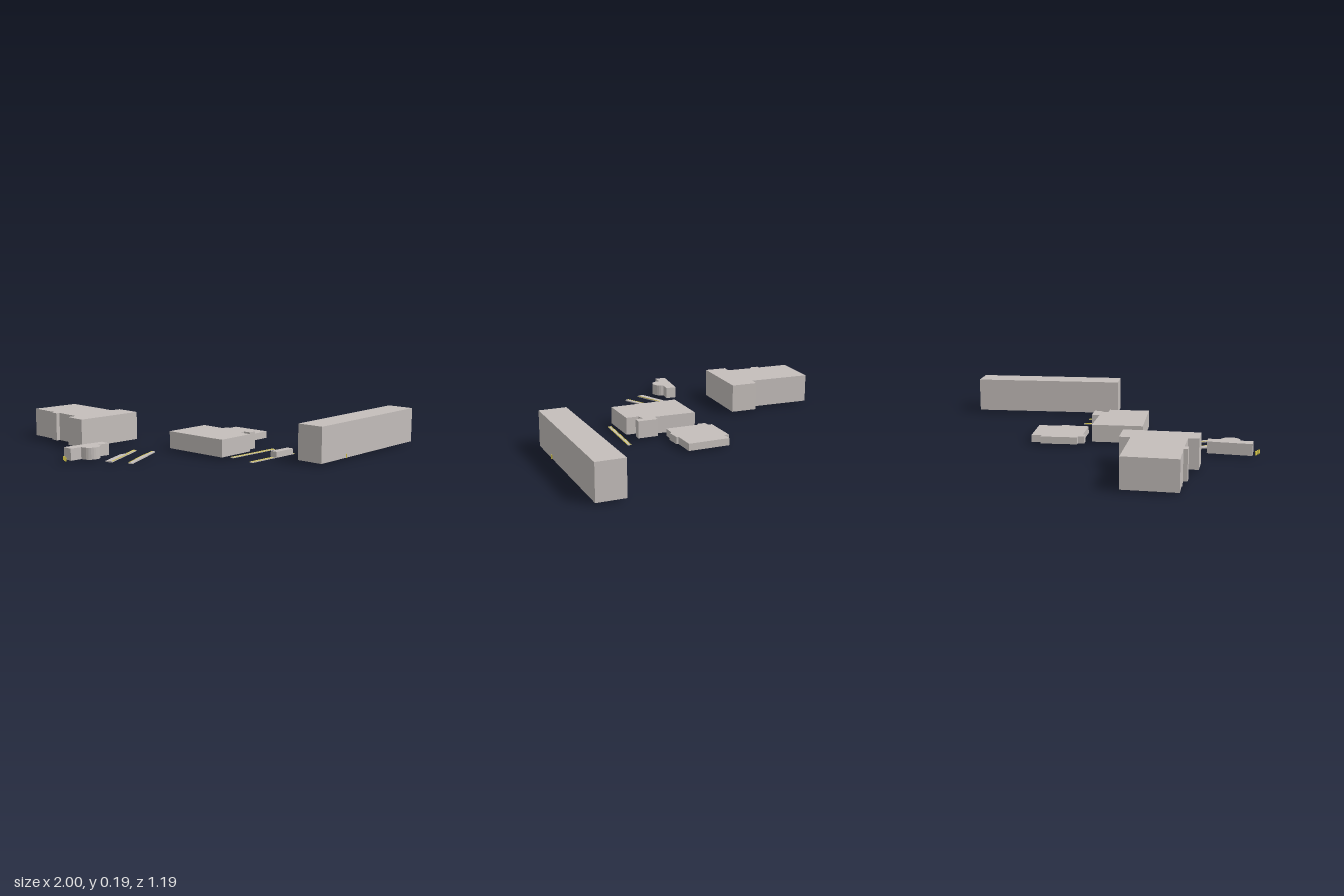
import * as THREE from 'three';

const concrete = new THREE.MeshStandardMaterial({ color: 0xc4bebb });
concrete.name = 'concrete grey';
const yellow = new THREE.MeshStandardMaterial({ color: 0xd6c648 });
yellow.name = 'safety yellow';

// Upright block from a ground plan of [x, z] corners
function block(name, plan, y0, y1) {
  const shape = new THREE.Shape(plan.map(([x, z]) => new THREE.Vector2(x, -z)));
  const geo = new THREE.ExtrudeGeometry(shape, { depth: y1 - y0, bevelEnabled: false });
  geo.rotateX(-Math.PI / 2);
  geo.translate(0, y0, 0);
  const mesh = new THREE.Mesh(geo, concrete);
  mesh.name = name;
  return mesh;
}

// Thin yellow line painted along a platform edge
function stripe(name, [x0, z0], [x1, z1], y, width = 0.004) {
  const geo = new THREE.BoxGeometry(Math.hypot(x1 - x0, z1 - z0), 0.002, width);
  const mesh = new THREE.Mesh(geo, yellow);
  mesh.position.set((x0 + x1) / 2, y, (z0 + z1) / 2);
  mesh.rotation.y = -Math.atan2(z1 - z0, x1 - x0);
  mesh.name = name;
  return mesh;
}

export function createModel() {
  const model = new THREE.Group();
  model.name = 'stationSite';

  // Large buildings
  model.add(block('longHall', [[0.866, -0.596], [1, -0.54], [0.685, 0.217], [0.554, 0.163]], 0.01, 0.192));
  model.add(block('westBuilding', [
    [-1, 0], [-0.883, -0.238], [-0.578, -0.097], [-0.552, -0.145], [-0.422, -0.087],
    [-0.583, 0.253], [-0.69, 0.202], [-0.668, 0.155], [-0.802, 0.09], [-0.812, 0.107],
    [-0.851, 0.088], [-0.842, 0.07], [-0.91, 0.043], [-0.913, 0.038],
  ], 0.01, 0.16));
  model.add(block('centreBuilding', [
    [-0.048, -0.147], [0.153, -0.054], [0.17, -0.092], [0.267, -0.05], [0.25, -0.014],
    [0.215, -0.027], [0.206, 0.01], [0.267, 0.037], [0.185, 0.236], [-0.152, 0.096],
  ], 0.01, 0.1));
  model.add(block('backBuilding', [
    [0.03, -0.45], [0.235, -0.367], [0.19, -0.255], [0.2, -0.25], [0.175, -0.18], [0.165, -0.184],
    [0.135, -0.118], [-0.03, -0.19], [-0.036, -0.178], [-0.074, -0.195], [-0.063, -0.224],
    [-0.083, -0.235], [-0.012, -0.41], [0.012, -0.4],
  ], 0.01, 0.047));

  // Small pavilion with a rounded bay
  const bay = [];
  for (let i = 0; i <= 12; i++) {
    const a = THREE.MathUtils.degToRad(-62 + i * 15);
    bay.push([-0.425 + 0.05 * Math.cos(a), 0.468 + 0.05 * Math.sin(a)]);
  }
  model.add(block('pavilion', [
    [-0.422, 0.344], [-0.37, 0.37], [-0.397, 0.417], ...bay,
    [-0.453, 0.512], [-0.481, 0.567], [-0.533, 0.54],
  ], 0.01, 0.07));
  model.add(block('kiosk', [[0.46, 0.016], [0.495, 0.032], [0.442, 0.148], [0.406, 0.13]], 0.01, 0.04));

  // Platforms with yellow edge lines
  const platforms = [
    ['westPlatform', [[-0.306, 0.212], [-0.29, 0.212], [-0.282, 0.517], [-0.318, 0.517], [-0.321, 0.35], [-0.304, 0.31]], 0.006, 0.012,
      [[[-0.292, 0.214], [-0.284, 0.515]], [[-0.304, 0.214], [-0.302, 0.31]]]],
    ['innerPlatform', [[-0.205, 0.207], [-0.188, 0.207], [-0.176, 0.51], [-0.198, 0.513], [-0.208, 0.35]], 0.005, 0.011,
      [[[-0.203, 0.21], [-0.205, 0.35]], [[-0.205, 0.35], [-0.196, 0.511]]]],
    ['centrePlatform', [[0.354, -0.09], [0.371, -0.081], [0.235, 0.212], [0.218, 0.204]], 0.005, 0.008,
      [[[0.356, -0.088], [0.22, 0.204]], [[0.369, -0.081], [0.233, 0.211]]]],
    ['eastPlatform', [[0.471, -0.033], [0.487, -0.026], [0.352, 0.267], [0.336, 0.259]], 0, 0.004,
      [[[0.473, -0.031], [0.338, 0.258]], [[0.485, -0.026], [0.35, 0.265]]]],
  ];
  for (const [name, plan, y0, y1, lines] of platforms) {
    model.add(block(name, plan, y0, y1));
    lines.forEach(([a, b]) => model.add(stripe(name + 'EdgeLine', a, b, y1)));
  }

  // Little yellow posts by the pavilion and the long hall
  for (const [x, z] of [[-0.523, 0.563], [-0.51, 0.577], [-0.497, 0.591], [0.766, 0.026]]) {
    const post = new THREE.Mesh(new THREE.BoxGeometry(0.006, 0.02, 0.008), yellow);
    post.position.set(x, 0.02, z);
    post.rotation.y = 0.4;
    post.name = 'post';
    model.add(post);
  }
  return model;
}
